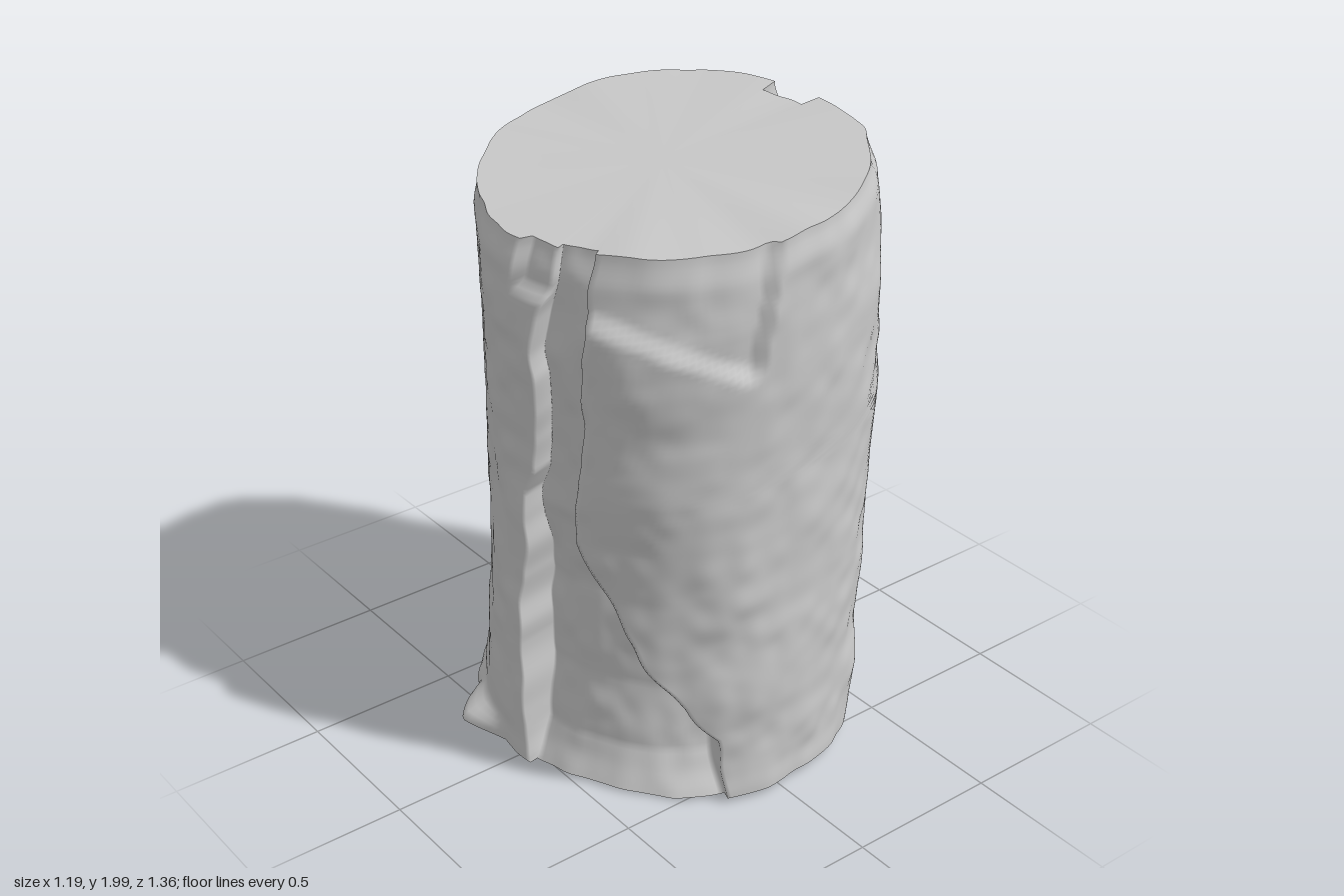
import * as THREE from 'three';

const ROWS = 120;
const { lerp, smoothstep, clamp } = THREE.MathUtils;

// Trunk half-widths on each side: [height, radius]
const RIGHT_SIDE = [[0, 0.54], [0.08, 0.56], [0.22, 0.592], [0.7, 0.585], [1.25, 0.597], [1.5, 0.575], [1.75, 0.56], [2, 0.54]];
const LEFT_SIDE = [[0, 0.55], [0.5, 0.55], [1, 0.535], [1.3, 0.54], [1.7, 0.555], [2, 0.54]];

// Swelling of the four diagonal quarters: [height, offset]
const BACK_RIGHT = [[0, 0.05], [0.3, 0.055], [0.9, 0.045], [1.8, 0.035], [2, 0.018]];
const FRONT_RIGHT = [[0, 0.035], [0.4, 0.025], [1.6, 0.03], [2, 0.005]];
const BACK_LEFT = [[0, -0.01], [0.3, -0.035], [1.7, -0.04], [2, -0.005]];
const FRONT_LEFT = [[0, -0.01], [0.8, 0], [1.2, 0.025], [1.75, 0.03], [2, 0]];

// Depth of the bare strip on the left: [height, depth]
const WEST_DEPTH = [[0, 0.03], [0.15, 0.09], [0.4, 0.12], [0.75, 0.11], [1.05, 0.06], [2, 0.05]];

// Edges of the two strips of missing bark: [height, z], from bottom to top
const EDGES = {
  eastBack: [[0, 0.04], [0.3, 0.03], [0.6, 0], [1.36, 0], [1.46, -0.07], [1.7, -0.12], [2, -0.07]],
  eastFront: [[0, 0.24], [0.3, 0.3], [0.5, 0.34], [0.7, 0.38], [0.85, 0.44], [1.0, 0.44], [1.2, 0.4],
    [1.25, 0.25], [1.32, 0.15], [1.5, 0.07], [1.7, 0.09], [1.9, 0.13], [2, 0.11]],
  westFront: [[0, 0.59], [0.25, 0.58], [0.4, 0.53], [0.65, 0.42], [0.8, 0.35], [1.0, 0.27], [1.3, 0.29],
    [1.65, 0.33], [2, 0.32]],
  westBack: [[0, 0.05], [0.5, 0.03], [1.1, 0.07], [1.2, 0.12], [1.6, 0.14], [2, 0.2]],
};

function sample(table, y) {
  for (let i = 1; i < table.length; i++) {
    const [y0, v0] = table[i - 1], [y1, v1] = table[i];
    if (y <= y1) return lerp(v0, v1, (y - y0) / (y1 - y0));
  }
  return table[table.length - 1][1];
}

// Smooth value noise that repeats around the trunk
function hash(i, j) {
  const s = Math.sin(i * 127.1 + j * 311.7) * 43758.5453;
  return (s - Math.floor(s)) * 2 - 1;
}
function noise(a, y, around, upward) {
  const turns = a / (2 * Math.PI);
  const u = (turns - Math.floor(turns)) * around, v = y * upward;
  const i = Math.floor(u), j = Math.floor(v);
  const fu = smoothstep(u - i, 0, 1), fv = smoothstep(v - j, 0, 1);
  const h = (di, dj) => hash((i + di) % around, j + dj + around);
  return lerp(lerp(h(0, 0), h(1, 0), fu), lerp(h(0, 1), h(1, 1), fu), fv);
}

const centreZ = (y) => lerp(-0.005, 0.053, y / 2);
const halfDepth = (y) => lerp(0.63, 0.64, y / 2);

function edgeAngle(name, y) {
  const wobble = 0.015 * noise(0.5, y, 5 + name.length, 9);
  const a = Math.asin(clamp((sample(EDGES[name], y) + wobble - centreZ(y)) / halfDepth(y), -1, 1));
  return name.startsWith('west') ? Math.PI - a : a;
}

// 1 at angle `at`, falling to 0 at `width` on either side
const bump = (a, at, width) =>
  Math.max(0, 1 - Math.abs(Math.atan2(Math.sin(a - at), Math.cos(a - at))) / width);

// Point on the trunk at angle a and level y; strip is 'east', 'west' or null
function trunkPoint(a, y, strip) {
  const rx = sample(Math.cos(a) > 0 ? RIGHT_SIDE : LEFT_SIDE, y);
  const z0 = halfDepth(y) * Math.sin(a);

  // squarer and flatter quarters of the cross-section
  const [first, second] = Math.cos(a) > 0 ? [FRONT_RIGHT, BACK_RIGHT] : [FRONT_LEFT, BACK_LEFT];
  let off = sample(z0 > 0 ? first : second, y) * Math.sin(2 * a) ** 2;
  // bark relief
  off += 0.008 * noise(a, y, 9, 2) + 0.008 * noise(a, y, 26, 5) + 0.004 * noise(a, y, 60, 14);
  // rounded shoulder under the cut
  off -= 0.02 * smoothstep(y, 1.9, 2);
  // thin flared lip at the foot, wider at the back left, with two splintered corners
  const lip = 0.005 + 0.035 * bump(a, 4.2, 1) + 0.08 * bump(a, 3.52, 0.24) + 0.045 * bump(a, 5.0, 0.35);
  off += lip * (1 - smoothstep(y, 0.01, 0.09));

  // bare wood where the bark has fallen away, with one loose flap left on it
  if (strip === 'east') {
    const depth = 0.09 * smoothstep(y, 0.12, 0.28) - 0.03 * smoothstep(y, 1.5, 1.9);
    const px = (z0 + centreZ(y) - 0.12) / 0.165;
    const py = Math.max(0, y - 0.62) / 0.26;
    const reach = Math.pow(Math.abs(px), 3) + Math.pow(py, 3);
    off += 0.09 * (1 - smoothstep(reach, 0.7, 1.05)) * smoothstep(y, 0.36, 0.72) - depth;
  }
  if (strip === 'west') off -= sample(WEST_DEPTH, y);

  // chipped wedge at the top of the front
  const fx = rx * Math.cos(a);
  if (z0 > 0 && strip === null && fx < -0.1) {
    const line = 1.8 - (fx + 0.48) * 0.66;
    const right = -0.16 + (y - 1.6) * 0.14;
    off -= 0.03 * smoothstep(y, line - 0.015, line + 0.03) * (1 - smoothstep(fx, right - 0.015, right + 0.01));
  }

  const x = (rx + off) * Math.cos(a);
  const z = centreZ(y) + (halfDepth(y) + off) * Math.sin(a);
  const top = 1.905 + 0.185 * x + 0.006 * noise(a, 1, 20, 1);
  const foot = 0.03 + 0.028 * x + 0.008 * noise(a, 0, 14, 1);
  return new THREE.Vector3(x, lerp(foot, top, y / 2), z);
}

// One ring; both sides of each bark edge get a vertex so the step is sharp
function ring(y) {
  const eb = edgeAngle('eastBack', y), ef = edgeAngle('eastFront', y);
  const wf = edgeAngle('westFront', y), wb = edgeAngle('westBack', y);
  const spans = [
    [eb, ef, 30, 'east'], [ef, wf, 70, null],
    [wf, wb, 30, 'west'], [wb, eb + 2 * Math.PI, 100, null],
  ];
  const points = [];
  for (const [from, to, n, strip] of spans)
    for (let i = 0; i <= n; i++) points.push(trunkPoint(lerp(from, to, i / n), y, strip));
  return points;
}

function meshFrom(name, points, index) {
  const geometry = new THREE.BufferGeometry().setFromPoints(points);
  geometry.setIndex(index);
  geometry.computeVertexNormals();
  const mesh = new THREE.Mesh(geometry, new THREE.MeshStandardMaterial({
    color: 0xcccccc, roughness: 0.9, side: THREE.DoubleSide,
  }));
  mesh.name = name;
  return mesh;
}

// Disc closing a ring, fanned from a centre point
function cutFace(name, rim, centreY, up) {
  const n = rim.length, index = [];
  for (let i = 0; i < n; i++) {
    const k = (i + 1) % n;
    index.push(n, up ? k : i, up ? i : k);
  }
  return meshFrom(name, [...rim, new THREE.Vector3(0, centreY, 0.02)], index);
}

export function createModel() {
  const group = new THREE.Group();
  group.name = 'log';

  const rings = Array.from({ length: ROWS + 1 }, (_, j) => ring(2 * j / ROWS));
  const n = rings[0].length, index = [];
  for (let j = 0; j < ROWS; j++)
    for (let i = 0; i < n; i++) {
      const k = (i + 1) % n;
      const a = j * n + k, b = j * n + i, c = b + n, d = a + n;
      index.push(a, b, c, a, c, d);
    }

  group.add(
    meshFrom('bark', rings.flat(), index),
    cutFace('topCut', rings[ROWS], 1.905, true),
    cutFace('bottomCut', rings[0], 0.04, false),
  );
  return group;
}
